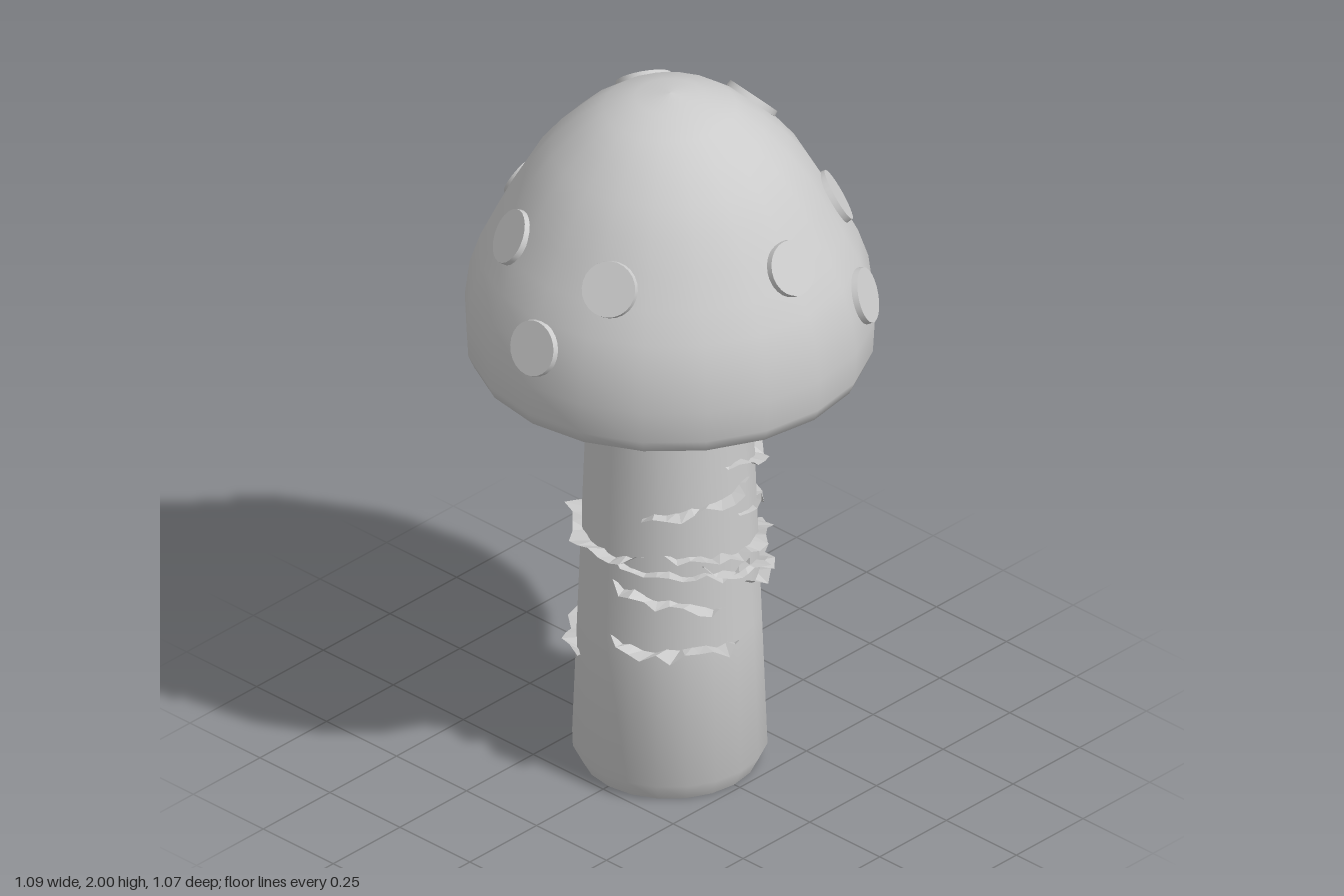
import * as THREE from 'three';
import { toCreasedNormals } from 'three/addons/utils/BufferGeometryUtils.js';

const SIDES = 20;
const grey = new THREE.MeshStandardMaterial({ color: 0xcccccc });
const greyThin = new THREE.MeshStandardMaterial({ color: 0xcccccc, side: THREE.DoubleSide, flatShading: true });

// Cap outline from lip to crown: radius, height
const CAP = [
  [0.485, 1.21], [0.515, 1.225], [0.53, 1.26], [0.535, 1.35], [0.522, 1.45], [0.495, 1.53], [0.455, 1.61],
  [0.41, 1.69], [0.365, 1.77], [0.31, 1.84], [0.245, 1.905], [0.175, 1.957], [0.09, 1.989], [0, 2],
].map(([r, y]) => new THREE.Vector2(r, y));

function lathe(points) {
  return new THREE.LatheGeometry(points.map((p) => (p.isVector2 ? p : new THREE.Vector2(...p))), SIDES);
}

function add(parent, name, geometry, material = grey) {
  const mesh = new THREE.Mesh(geometry, material);
  mesh.name = name;
  parent.add(mesh);
  return mesh;
}

// Radius and outward slope of the cap at a height
function capAt(y) {
  let i = 1;
  while (i < CAP.length - 1 && CAP[i].y < y) i++;
  const a = CAP[i - 1], b = CAP[i];
  const t = (y - a.y) / (b.y - a.y);
  return { r: a.x + (b.x - a.x) * t, slope: new THREE.Vector2(b.y - a.y, a.x - b.x).normalize() };
}

const stemRadius = (y) => 0.255 - 0.045 * (y - 0.05) / 1.2;

function seeded(seed) {
  let s = seed * 7919 + 17;
  return () => (s = (s * 16807) % 2147483647) / 2147483647;
}

// Ragged shelf of peeling skin that winds round the stem; angle 0 faces front
function peel(from, to, y0, y1, width, seed) {
  const rand = seeded(seed);
  rand(); rand();
  const n = Math.max(6, Math.round((to - from) / 8));
  const pos = [], index = [];
  for (let i = 0; i <= n; i++) {
    const t = i / n;
    const a = THREE.MathUtils.degToRad(from + (to - from) * t);
    const y = y0 + (y1 - y0) * t + (rand() - 0.5) * 0.022;
    const taper = Math.min(1, 0.2 + 5 * Math.min(t, 1 - t));
    const out = width * taper * (0.3 + 0.7 * rand());
    const r = stemRadius(y);
    for (const [radius, h] of [[r - 0.012, y], [r + out, y + (rand() - 0.4) * 0.025]]) {
      pos.push(Math.sin(a) * radius, h, Math.cos(a) * radius);
    }
    if (i < n) index.push(2 * i, 2 * i + 1, 2 * i + 2, 2 * i + 1, 2 * i + 3, 2 * i + 2);
  }
  const g = new THREE.BufferGeometry();
  g.setAttribute('position', new THREE.Float32BufferAttribute(pos, 3));
  g.setIndex(index);
  g.computeVertexNormals();
  return g;
}

export function createModel() {
  const model = new THREE.Group();
  model.name = 'mushroom';

  // Stem with a bevelled foot
  add(model, 'stem', toCreasedNormals(
    lathe([[0, 0], [0.23, 0], [0.255, 0.05], [0.24, 0.45], [0.225, 0.85], [0.21, 1.26]]), 0.7));

  // Cap and its shallow hollow underside
  add(model, 'cap', lathe(CAP));
  add(model, 'capUnderside', lathe([[0, 1.255], [0.24, 1.252], [0.33, 1.245], [0.43, 1.212], [0.485, 1.21]]));

  // Spots lying on the cap: x, z, height
  const spots = new THREE.Group();
  spots.name = 'spots';
  model.add(spots);
  const up = new THREE.Vector3(0, 1, 0);
  for (const [x, z, y] of [
    [0, 0.44, 1.65], [0.26, 0.45, 1.46], [0.34, 0.27, 1.65], [0.36, -0.25, 1.65], [0.28, 0.04, 1.88],
    [0.16, -0.25, 1.87], [-0.04, -0.48, 1.57], [-0.39, -0.2, 1.65], [-0.41, 0.17, 1.65], [-0.52, 0.01, 1.46],
  ]) {
    const { r, slope } = capAt(y);
    const a = Math.atan2(x, z);
    const normal = new THREE.Vector3(Math.sin(a) * slope.x, slope.y, Math.cos(a) * slope.x);
    const spot = add(spots, 'spot', new THREE.CylinderGeometry(0.073, 0.075, 0.016, 24));
    spot.position.set(Math.sin(a) * r, y, Math.cos(a) * r).addScaledVector(normal, 0.002);
    spot.quaternion.setFromUnitVectors(up, normal);
  }

  // Peeling skin: start angle, end angle, start height, end height, reach
  const peels = new THREE.Group();
  peels.name = 'peelingSkin';
  model.add(peels);
  [
    [-5, 75, 0.97, 0.89, 0.045], [-65, 18, 0.85, 0.9, 0.045], [5, 88, 0.81, 0.73, 0.03],
    [-50, 70, 0.73, 0.66, 0.05], [-85, 15, 0.7, 0.64, 0.05], [-25, 45, 0.68, 0.6, 0.05],
    [-85, -8, 0.63, 0.56, 0.05], [10, 122, 0.58, 0.52, 0.05], [-85, 0, 0.46, 0.44, 0.065],
    [180, 300, 0.72, 0.71, 0.05], [155, 240, 0.36, 0.34, 0.05],
  ].forEach((p, i) => add(peels, 'peel', peel(...p, i + 1), greyThin));

  return model;
}
